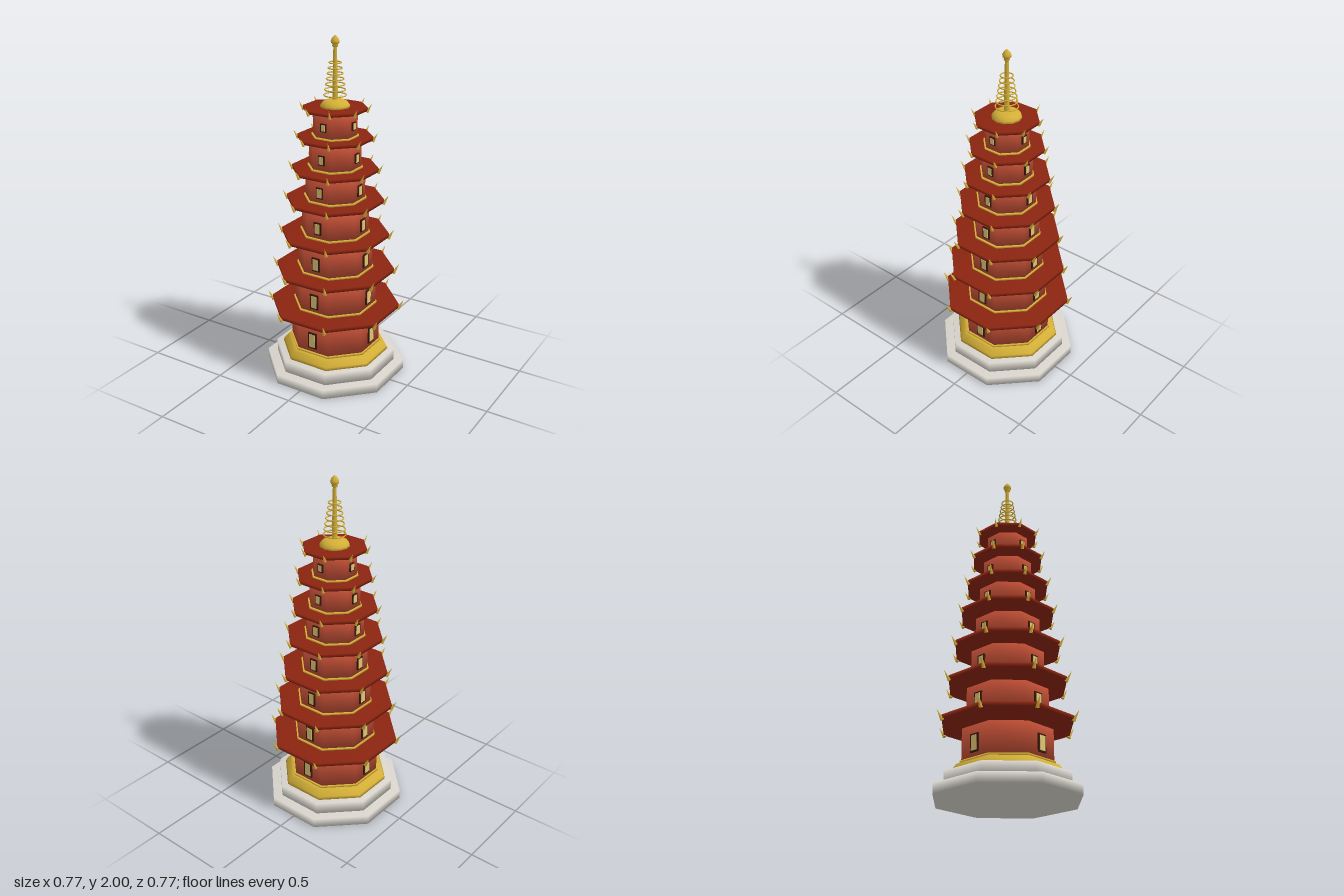
import * as THREE from 'three';

const mat = (name, color) => {
  const m = new THREE.MeshStandardMaterial({ color });
  m.name = name;
  return m;
};

export function createModel() {
  const stone = mat('pale stone', 0xd8d4cc);
  const gold = mat('gold', 0xd4af37);
  const red = mat('red wall', 0xb84a32);
  const tile = mat('dark red roof', 0x8a2410);
  const wood = mat('dark wood', 0x3a1a0c);
  const pane = mat('warm pane', 0xe0c474);

  const pagoda = new THREE.Group();
  pagoda.name = 'pagoda';
  const add = (parent, name, geometry, material, x = 0, y = 0, z = 0) => {
    const m = new THREE.Mesh(geometry, material);
    m.name = name;
    m.position.set(x, y, z);
    parent.add(m);
    return m;
  };

  // Eight-sided solid; profile radii are measured to the middle of a flat side
  const C = Math.cos(Math.PI / 8);
  const octagon = (profile) => new THREE.LatheGeometry(
    profile.map(([r, y]) => new THREE.Vector2(r / C, y)), 8, Math.PI / 8);
  const slab = (r, y0, y1) => octagon([[0, y0], [r, y0], [r, y1], [0, y1]]);
  const round = (profile, sides) => new THREE.LatheGeometry(
    profile.map(([r, y]) => new THREE.Vector2(r, y)), sides);

  // Stepped base
  add(pagoda, 'lowerStep', slab(0.385, 0, 0.057), stone);
  add(pagoda, 'upperStep', slab(0.332, 0.055, 0.127), stone);
  add(pagoda, 'goldPlinth', octagon([[0, 0.125], [0.297, 0.125], [0.29, 0.142],
    [0.268, 0.172], [0.25, 0.18], [0, 0.18]]), gold);

  // Storeys: wall bottom, wall top, roof underside
  const storeys = [
    [0.178, 0.367, 0.408], [0.428, 0.6, 0.637], [0.656, 0.822, 0.854],
    [0.873, 1.027, 1.063], [1.081, 1.223, 1.245], [1.262, 1.403, 1.427],
    [1.442, 1.575, 1.592],
  ];
  storeys.forEach(([y0, y1, roofY], i) => {
    const t = i / 6;
    const storey = new THREE.Group();
    storey.name = `storey${i + 1}`;
    pagoda.add(storey);

    // Wall with a gold band at its foot
    const r = 0.244 - 0.0213 * i;
    add(storey, 'wall', slab(r, y0, y1), red);
    add(storey, 'footBand', slab(r + 0.008, y0, y0 + 0.013), gold);

    // Framed windows on four sides
    const w = 0.058 - 0.022 * t, h = 0.1 - 0.053 * t, rim = 0.009 - 0.003 * t;
    const windowY = (y0 + y1) / 2 - 0.006 + 0.002 * i * t;
    for (let k = 0; k < 4; k++) {
      const side = new THREE.Group();
      side.name = 'window';
      side.rotation.y = k * Math.PI / 2;
      storey.add(side);
      add(side, 'windowFrame', new THREE.BoxGeometry(w, h, 0.016), wood, 0, windowY, r);
      add(side, 'windowPane', new THREE.BoxGeometry(w - 2 * rim, h - 2 * rim, 0.004), pane,
        0, windowY, r + 0.0085);
    }

    // Flat eaves
    const eave = 0.352 - 0.0308 * i, thick = 0.022 - 0.004 * t;
    add(storey, 'roof', slab(eave, roofY, roofY + thick), tile);

    // Upswept horns on the eight corners
    const s = 1 - 0.2 * t, len = 0.068 * s;
    const horn = new THREE.ConeGeometry(0.0115 * s, len, 6);
    horn.translate(0, len / 2, 0);
    horn.rotateX(0.52);
    for (let k = 0; k < 8; k++) {
      const corner = new THREE.Group();
      corner.name = 'corner';
      corner.rotation.y = (k + 0.5) * Math.PI / 4;
      storey.add(corner);
      add(corner, 'cornerHorn', horn, gold, 0, roofY - 0.009 * s, eave / C - 0.005);
    }
  });

  // Spire: dome, mast, rings and finial
  add(pagoda, 'spireDome', round([[0, 1.605], [0.085, 1.605], [0.081, 1.622],
    [0.068, 1.638], [0.045, 1.648], [0, 1.652]], 12), gold);
  add(pagoda, 'mast', new THREE.CylinderGeometry(0.01, 0.016, 0.31, 10), gold, 0, 1.795, 0);
  for (let i = 0; i < 7; i++) {
    const ring = new THREE.TorusGeometry(0.062 - 0.0047 * i, 0.0035, 6, 24);
    ring.rotateX(Math.PI / 2);
    add(pagoda, 'spireRing', ring, gold, 0, 1.674 + 0.0297 * i, 0);
  }
  add(pagoda, 'finial', round([[0, 1.935], [0.014, 1.937], [0.017, 1.944], [0.014, 1.949],
    [0.023, 1.958], [0.024, 1.968], [0.018, 1.982], [0.008, 1.993], [0, 2]], 12), gold);

  return pagoda;
}
